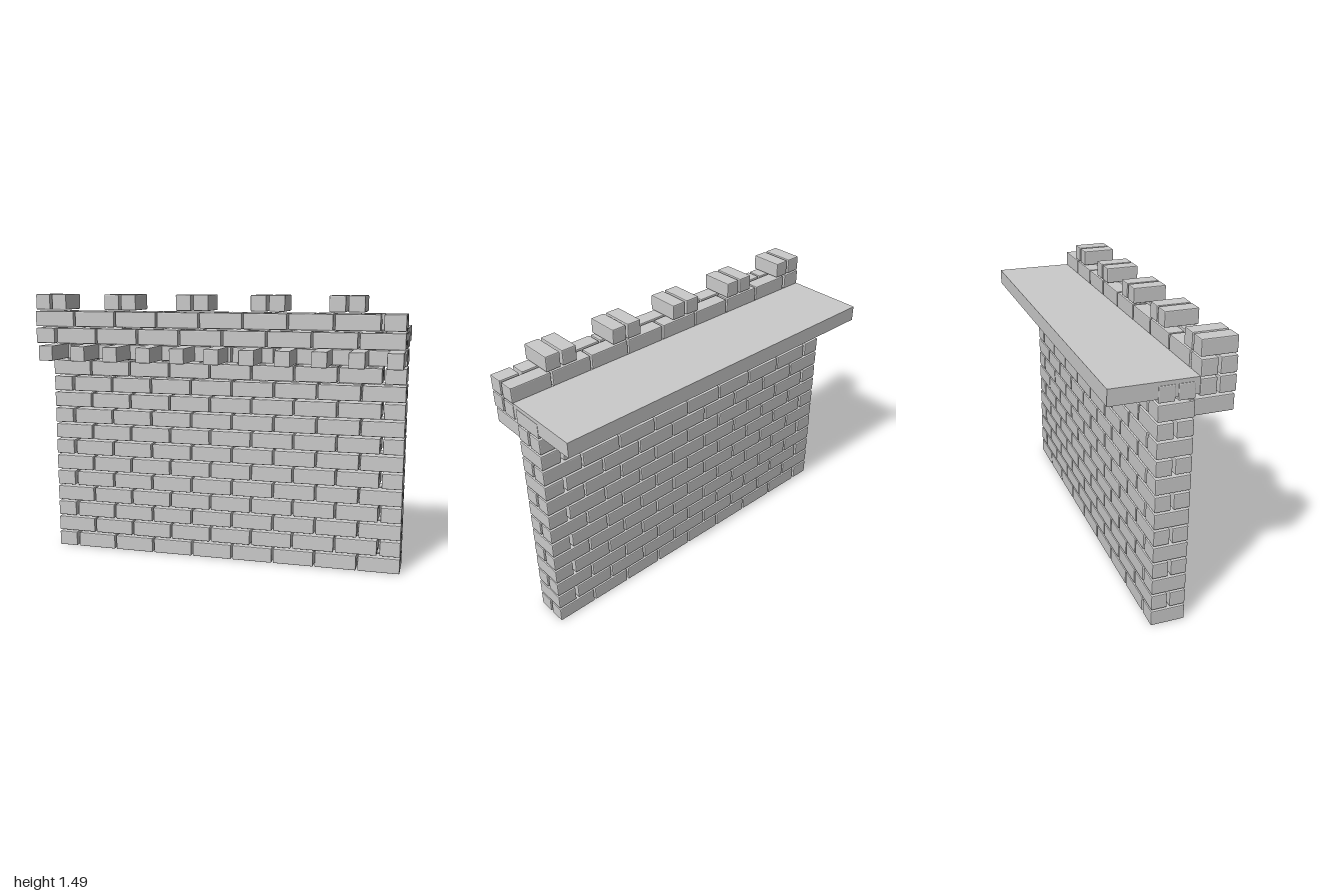
import * as THREE from 'three';
import { RoundedBoxGeometry } from 'three/addons/geometries/RoundedBoxGeometry.js';

const H = 0.083;        // brick height and width
const LONG = 0.226;     // stretcher length
const HALF = 0.115;     // half brick / header length on the face
const PITCH = 0.2355;   // stretcher plus joint
const COURSE = 0.0934;  // course height plus joint

const material = new THREE.MeshStandardMaterial({ color: 0xcccccc, flatShading: true });
const cache = new Map();

// Slightly chamfered brick, given by its lower corner and size
function brick(parent, name, x, y, z, w, h, d) {
  const key = [w, h, d].join();
  if (!cache.has(key)) cache.set(key, new RoundedBoxGeometry(w, h, d, 1, 0.005));
  const mesh = new THREE.Mesh(cache.get(key), material);
  mesh.name = name;
  mesh.position.set(x + w / 2, y + h / 2, z + d / 2);
  parent.add(mesh);
}

// Eight stretchers in a row, leaving room for a half brick at one end
function stretchers(parent, y, z, halfAtLowX) {
  const start = halfAtLowX ? 1 - LONG - 7 * PITCH : -1;
  for (let i = 0; i < 8; i++) {
    brick(parent, 'stretcherBrick', start + i * PITCH, y, z, LONG, H, H);
  }
}

const endX = (atLowX) => (atLowX ? -1 : 1 - HALF + 0.005);
const HALF_W = HALF - 0.005;

export function createModel() {
  const model = new THREE.Group();
  model.name = 'brickWall';
  const section = (name) => {
    const g = new THREE.Group();
    g.name = name;
    model.add(g);
    return g;
  };

  // Two-layer wall, with a full-depth header alternating between the ends
  const wall = section('wall');
  for (let row = 0; row < 14; row++) {
    const y = row * COURSE;
    const low = row % 2 === 0;
    stretchers(wall, y, -0.071, low);
    stretchers(wall, y, 0.026, low);
    brick(wall, 'endHeader', endX(low), y, -0.071, HALF_W, H, 0.18);
  }

  // Projecting bricks that carry the parapet
  const corbels = section('corbels');
  for (let i = 0; i < 11; i++) {
    brick(corbels, 'corbelBrick', -0.99 + i * 0.19, 1.124, 0.083, H, H, LONG);
  }

  // Parapet of two layers with opposite bonds
  const parapet = section('parapet');
  for (let row = 0; row < 2; row++) {
    const y = 1.222 + row * 0.0915;
    [0.129, 0.225].forEach((z, layer) => {
      const low = (row + layer) % 2 === 1;
      stretchers(parapet, y, z, low);
      brick(parapet, 'halfBrick', endX(low), y, z, HALF_W, H, H);
    });
  }

  // Pairs of crosswise bricks along the top
  const merlons = section('merlons');
  for (let i = 0; i < 5; i++) {
    for (let j = 0; j < 2; j++) {
      brick(merlons, 'merlonBrick', -0.994 + i * 0.403 + j * 0.096, 1.405, 0.127, H, H, 0.181);
    }
  }

  // Walkway slab behind the parapet
  const slab = new THREE.Mesh(new THREE.BoxGeometry(1.994, 0.083, 0.437), material);
  slab.name = 'walkwaySlab';
  slab.position.set(0, 1.2755, -0.0895);
  model.add(slab);

  return model;
}
